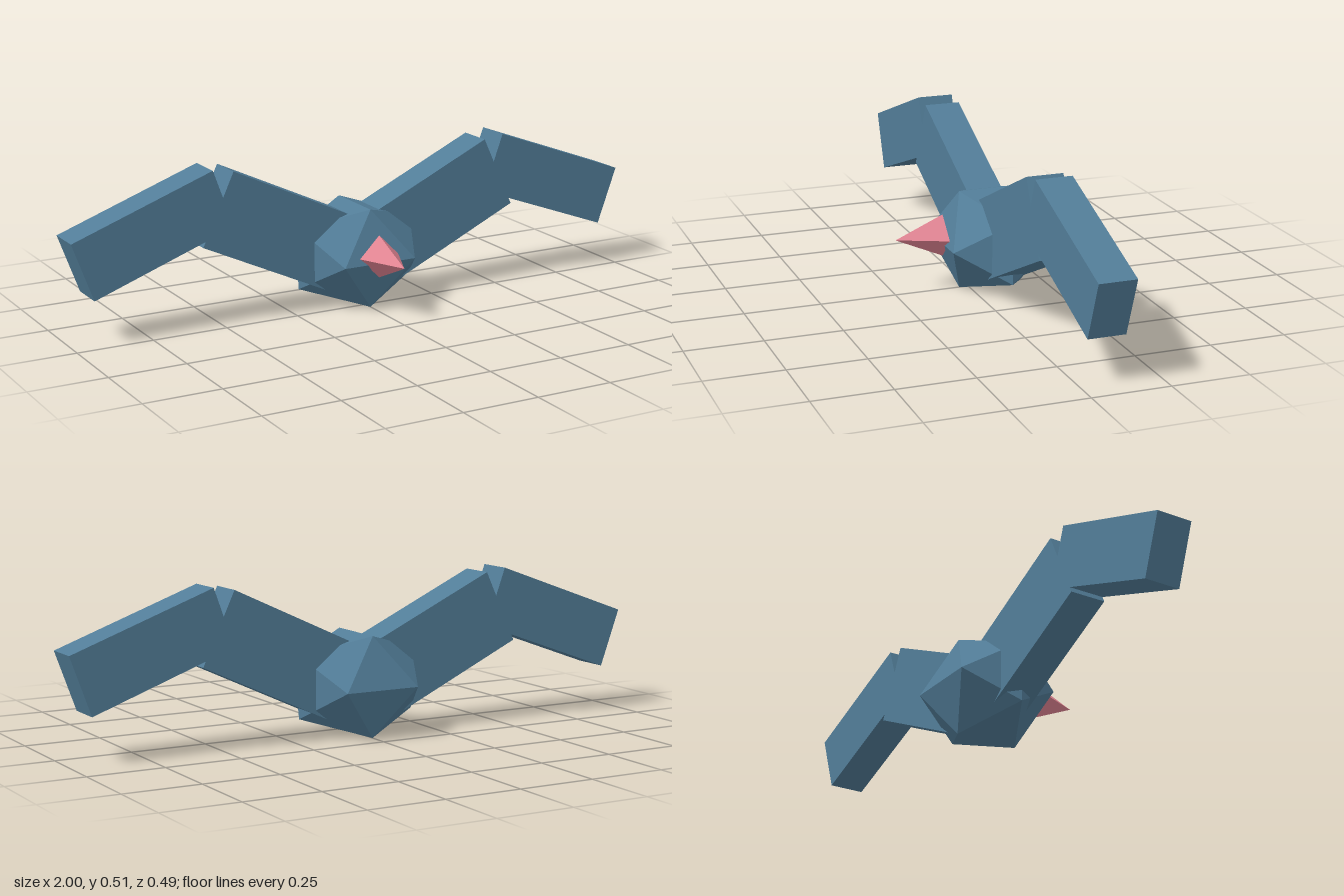
import * as THREE from 'three';

const blue = new THREE.MeshStandardMaterial({ color: 0x527d98 });
blue.name = 'slate blue';
const pink = new THREE.MeshStandardMaterial({ color: 0xe08492 });
pink.name = 'rose pink';

const CENTRE_Z = -0.075;

function addPart(parent, name, geometry, material, x, y, z) {
  // unshared vertices give every face its own flat normal
  const flat = geometry.index ? geometry.toNonIndexed() : geometry;
  flat.computeVertexNormals();
  const mesh = new THREE.Mesh(flat, material);
  mesh.name = name;
  mesh.position.set(x, y, z);
  parent.add(mesh);
  return mesh;
}

export function createModel() {
  const model = new THREE.Group();
  model.name = 'bird';

  // Body: icosahedron stretched sideways
  const body = new THREE.IcosahedronGeometry(1, 0);
  body.rotateY(Math.PI / 2);
  body.scale(0.243, 0.192, 0.202);
  addPart(model, 'body', body, blue, 0, 0.1635, CENTRE_Z);

  // Beak: four-sided cone pointing forward
  const beak = new THREE.ConeGeometry(0.07, 0.16, 4);
  beak.rotateX(Math.PI / 2);
  addPart(model, 'beak', beak, pink, 0, 0.185, 0.168);

  // Wings: a rising inner slab and a drooping outer slab on each side
  for (const [side, s] of [['left', 1], ['right', -1]]) {
    const wing = new THREE.Group();
    wing.name = side + 'Wing';
    const inner = addPart(wing, side + 'InnerWing',
      new THREE.BoxGeometry(0.5, 0.255, 0.12), blue, s * 0.2875, 0.276, CENTRE_Z);
    inner.rotation.z = s * THREE.MathUtils.degToRad(25);
    const outer = addPart(wing, side + 'OuterWing',
      new THREE.BoxGeometry(0.5, 0.2, 0.12), blue, s * 0.731, 0.3285, CENTRE_Z);
    outer.rotation.z = -s * THREE.MathUtils.degToRad(20);
    model.add(wing);
  }

  return model;
}
